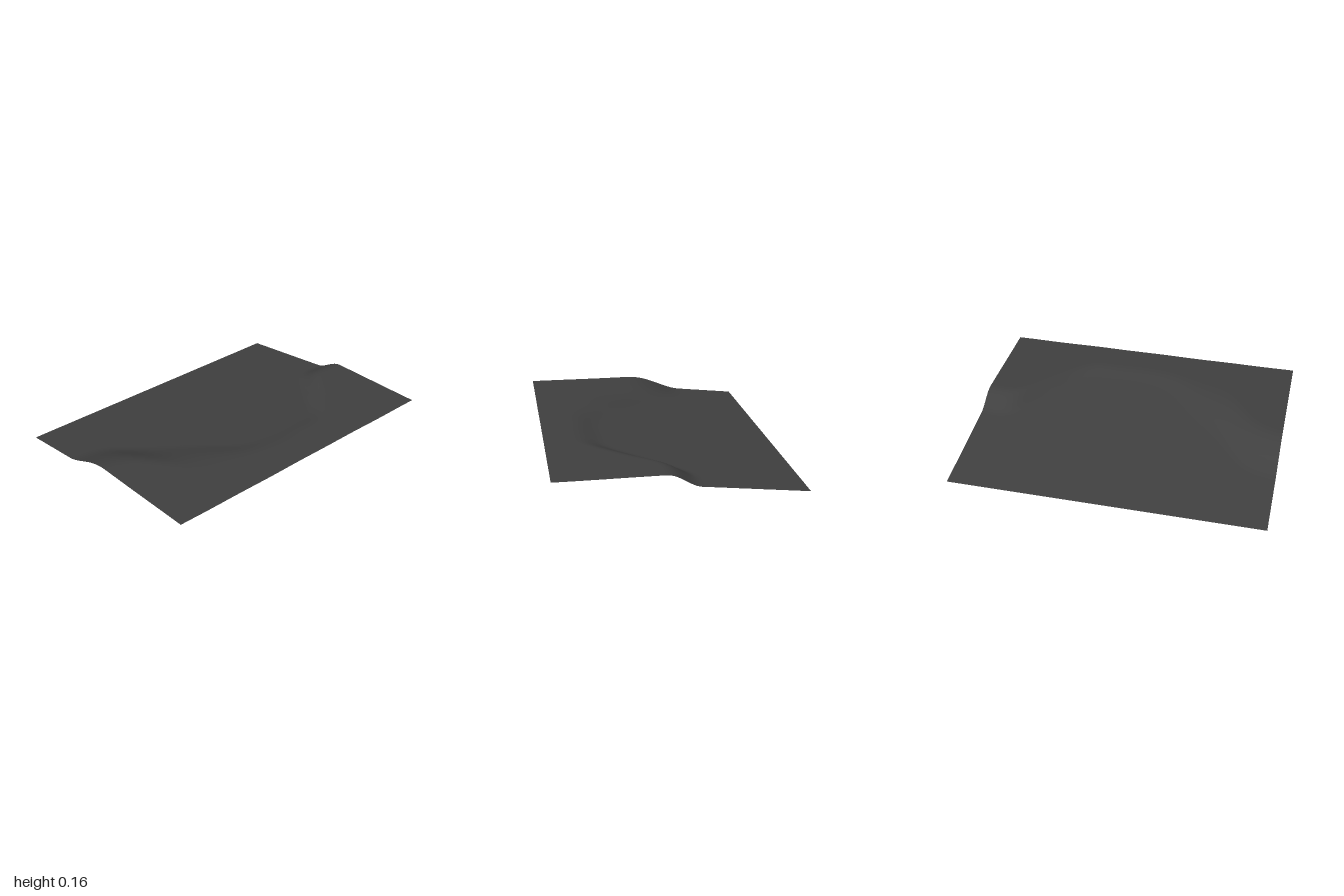
import * as THREE from 'three';

const WIDTH = 2, DEPTH = 1.5, PLATEAU = 0.157, SLOPE = 0.113;

// z of the bank's foot and crest, at even steps from x = -1 to x = 1
const foot = spline([-0.35, -0.3, -0.1, 0.1, 0.32, 0.39, 0.39, 0.36, 0.12, -0.09, -0.1]);
const crest = spline([0.04, 0.14, 0.4, 0.49, 0.55, 0.56, 0.56, 0.53, 0.34, 0.12, 0.1]);

function spline(values) {
  return new THREE.SplineCurve(values.map((z, i) => new THREE.Vector2(-1 + i * 0.2, z)));
}

// Even ramp at the back, a curved bank, and a slightly rippled plateau in front
function height(x, z) {
  const t = (x + 1) / 2;
  const ramp = SLOPE * (z + DEPTH / 2);
  const ripple = 0.0015 * Math.sin(9 * x + 2 * z) * Math.sin(4 * x - 5 * z);
  const bank = THREE.MathUtils.smoothstep(z, foot.getPoint(t).y, crest.getPoint(t).y);
  return THREE.MathUtils.lerp(ramp, PLATEAU + ripple, bank);
}

export function createModel() {
  const group = new THREE.Group();
  group.name = 'terrain';

  // Ground sheet
  const geometry = new THREE.PlaneGeometry(WIDTH, DEPTH, 80, 60).rotateX(-Math.PI / 2);
  const position = geometry.attributes.position;
  for (let i = 0; i < position.count; i++) {
    position.setY(i, height(position.getX(i), position.getZ(i)));
  }
  geometry.computeVertexNormals();

  const material = new THREE.MeshStandardMaterial({ color: 0x404040, side: THREE.DoubleSide });
  const ground = new THREE.Mesh(geometry, material);
  ground.name = 'groundSurface';
  group.add(ground);
  return group;
}
